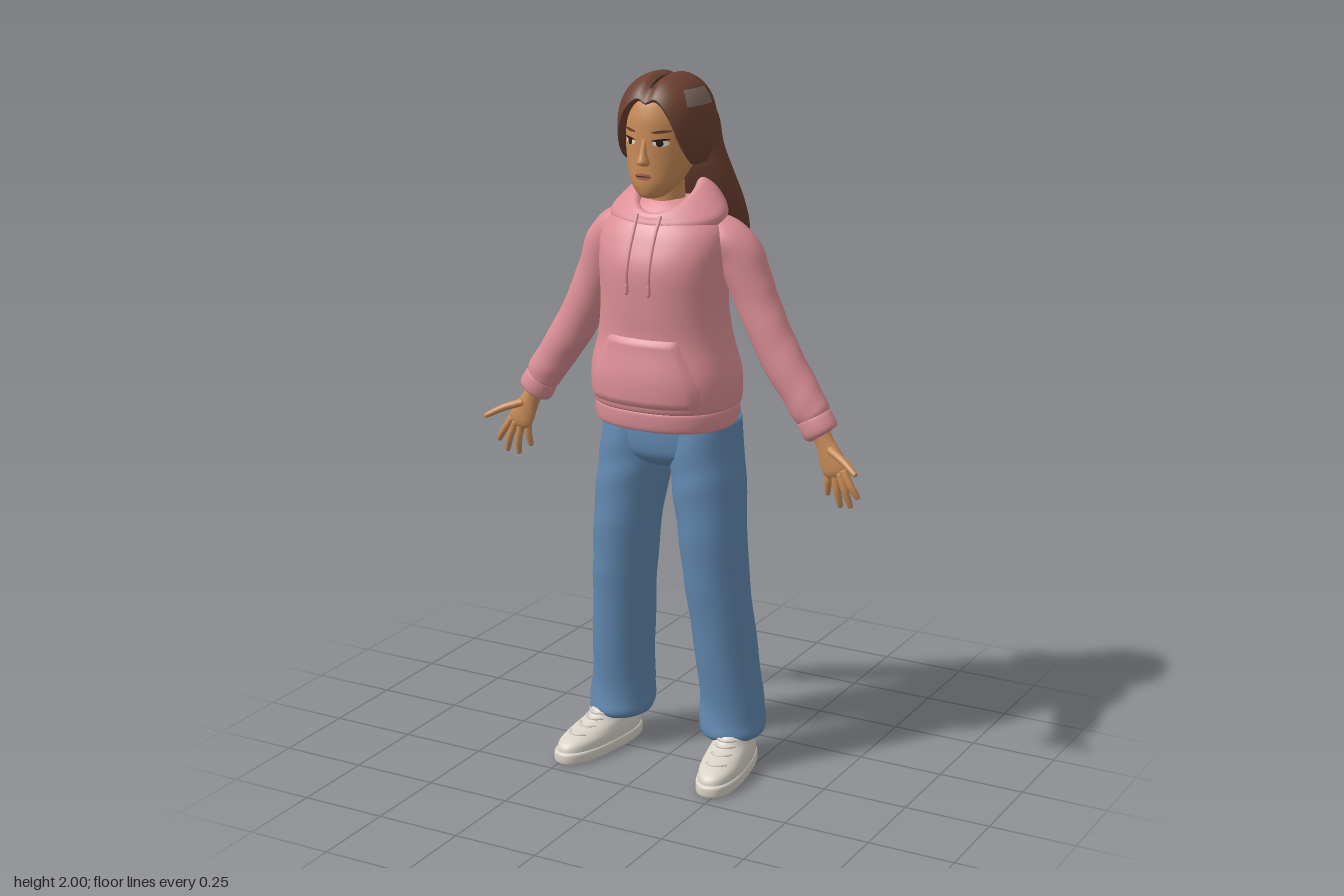
import * as THREE from 'three';

const mat = (name, color) => Object.assign(new THREE.MeshStandardMaterial({ color }), { name });
const M = {
  skin: mat('skin', 0xc98c58), hair: mat('brown hair', 0x6b4030), pink: mat('pink fabric', 0xdc8f96),
  denim: mat('blue denim', 0x6289b0), shoe: mat('off white leather', 0xd8d2c8), dark: mat('dark', 0x2a1c18),
  white: mat('eye white', 0xe4dcd2), lip: mat('lip', 0xa8604c), clip: mat('grey clip', 0x7d6a62),
};

// Surface through rows of points; row direction x column direction faces outward
function surface(rows, wrap = false, caps = false) {
  const nc = rows[0].length, pos = [], idx = [], nr = rows.length;
  rows.flat().forEach(p => pos.push(p.x, p.y, p.z));
  for (let i = 0; i < nr - 1; i++) for (let j = 0; j < (wrap ? nc : nc - 1); j++) {
    const k = (j + 1) % nc, a = i * nc + j, b = i * nc + k, c = a + nc, d = b + nc;
    idx.push(a, c, b, b, c, d);
  }
  if (caps) [0, nr - 1].forEach((r, end) => {
    const m = rows[r].reduce((s, p) => s.add(p), new THREE.Vector3()).divideScalar(nc);
    const c = pos.length / 3;
    pos.push(m.x, m.y, m.z);
    for (let j = 0; j < nc; j++) {
      const a = r * nc + j, b = r * nc + (j + 1) % nc;
      end ? idx.push(c, b, a) : idx.push(c, a, b);
    }
  });
  const g = new THREE.BufferGeometry();
  g.setAttribute('position', new THREE.Float32BufferAttribute(pos, 3));
  g.setIndex(idx);
  g.computeVertexNormals();
  return g;
}

// Smoothly interpolated cross-section [x, y, z, halfWidth, halfDepth, power, tilt]
function sample(S, t) {
  const f = t * (S.length - 1), i = Math.min(Math.floor(f), S.length - 2), u = f - i;
  const at = (k, c) => S[Math.max(0, Math.min(S.length - 1, k))][c] ?? (c === 5 ? 2 : 0);
  return [0, 1, 2, 3, 4, 5, 6].map(c => {
    const [a, b, d, e] = [at(i - 1, c), at(i, c), at(i + 1, c), at(i + 2, c)];
    return b + 0.5 * u * (d - a + u * (2 * a - 5 * b + 4 * d - e + u * (3 * (b - d) + e - a)));
  });
}
const spow = (v, e) => Math.sign(v) * Math.pow(Math.abs(v), e);

// Loft with level rings (sections bottom to top), or rings square to the path
function loft(S, { along = false, seg = 32, sub = 5, wrinkle = 0 } = {}) {
  const n = (S.length - 1) * sub, rows = [], Z = new THREE.Vector3(0, 0, 1);
  const centre = t => new THREE.Vector3(...sample(S, Math.max(0, Math.min(1, t))).slice(0, 3));
  for (let i = 0; i <= n; i++) {
    const t = i / n, s = sample(S, t), c = centre(t);
    let A = new THREE.Vector3(1, 0, 0), B = Z.clone();
    if (along) {
      const T = centre(t + 0.02).sub(centre(t - 0.02)).normalize();
      A = T.clone().cross(Z).normalize();
      B = A.clone().cross(T);
    }
    rows.push(Array.from({ length: seg }, (_, j) => {
      const a = j / seg * Math.PI * 2;
      const w = 1 + wrinkle * Math.sin(t * 42 + 2.5 * Math.sin(a + 5 * t));
      const p = c.clone().addScaledVector(A, w * s[3] * spow(Math.cos(a), 2 / s[5]))
        .addScaledVector(B, w * s[4] * spow(Math.sin(a), 2 / s[5]));
      p.y -= s[6] * p.z;
      return p;
    }));
  }
  return surface(rows, true, true);
}

// Front depth of a level loft at x, y
function frontZ(S, x, y) {
  let lo = 0, hi = 1;
  for (let k = 0; k < 30; k++) { const m = (lo + hi) / 2; sample(S, m)[1] < y ? lo = m : hi = m; }
  const s = sample(S, lo), q = Math.min(1, Math.abs(x / s[3]));
  return s[2] + s[4] * Math.pow(1 - Math.pow(q, s[5]), 1 / s[5]);
}

// Thin oval lying on the front of a loft
const decal = (S, cx, cy, rx, ry, off, rot = 0) => surface([0, 0.35, 0.7, 1].map(r =>
  Array.from({ length: 20 }, (_, j) => {
    const a = j / 20 * Math.PI * 2, u = r * rx * Math.cos(a), v = r * ry * Math.sin(a);
    const x = cx + u * Math.cos(rot) - v * Math.sin(rot), y = cy + u * Math.sin(rot) + v * Math.cos(rot);
    return new THREE.Vector3(x, y, frontZ(S, x, y) + off);
  })), true);

const HEAD = [[0, 1.672, .095, .018, .025], [0, 1.68, .092, .037, .043], [0, 1.71, .074, .066, .07],
  [0, 1.75, .05, .085, .094], [0, 1.8, .03, .098, .114], [0, 1.85, .016, .105, .128],
  [0, 1.9, .01, .104, .13], [0, 1.95, .01, .085, .108], [0, 1.98, .01, .035, .045]];
const TORSO = [[0, 1.085, .008, .198, .166, 2.3], [0, 1.1, .01, .21, .174, 2.3], [0, 1.18, .015, .213, .171, 2.3],
  [0, 1.28, .02, .19, .151, 2.3], [0, 1.38, .027, .178, .148, 2.3], [0, 1.48, .027, .182, .148, 2.3],
  [0, 1.55, .02, .185, .132, 2.3], [0, 1.6, .01, .165, .115, 2.2], [0, 1.64, 0, .11, .085, 2], [0, 1.66, 0, .06, .06, 2]];

// Point on the crown of the hair, with a centre parting
function crown(phi, th, off = 0) {
  const e = 0.85, st = spow(Math.sin(th), e);
  const p = new THREE.Vector3((.124 + off) * st * spow(Math.sin(phi), e), 1.855 + (.148 + off) * spow(Math.cos(th), e),
    .01 + (.145 + off) * st * spow(Math.cos(phi), e));
  if (p.z > -.1) p.y -= .014 * Math.exp(-((p.x / .016) ** 2));
  return p;
}
const range = (n, f) => Array.from({ length: n + 1 }, (_, i) => f(i / n));
const lerp = THREE.MathUtils.lerp;

export function createModel() {
  const model = new THREE.Group();
  model.name = 'girl in hoodie';
  const add = (name, geo, m, parent = model) => {
    const mesh = new THREE.Mesh(geo, m);
    mesh.name = name;
    parent.add(mesh);
    return mesh;
  };

  // Head and face
  add('head', loft(HEAD, { seg: 40 }), M.skin);
  add('neck', loft([[0, 1.56, .005, .062, .06], [0, 1.64, .012, .052, .053], [0, 1.74, .02, .05, .05]]), M.skin);
  add('nose', loft([[0, 1.764, .138, .012, .01], [0, 1.773, .142, .018, .023], [0, 1.8, .14, .011, .016],
    [0, 1.845, .136, .008, .006]], { seg: 16 }), M.skin);
  add('lips', decal(HEAD, 0, 1.735, .025, .009, .004), M.lip);
  add('mouthLine', decal(HEAD, 0, 1.736, .023, .0015, .006), M.dark);
  for (const s of [-1, 1]) {
    add('eye', decal(HEAD, s * .046, 1.827, .02, .009, .002), M.white);
    add('iris', decal(HEAD, s * .045, 1.827, .009, .009, .004), M.dark);
    add('eyelashes', decal(HEAD, s * .047, 1.836, .022, .003, .005, s * .1), M.dark);
    add('eyebrow', decal(HEAD, s * .048, 1.858, .024, .004, .004, s * .1), M.hair);
  }

  // Hair: crown with a turned-in edge, and the long fall behind
  add('hairCrown', surface(range(29, v => range(96, u => {
    const phi = lerp(-Math.PI, Math.PI, u);
    const edge = 1.0 + 1.2 * THREE.MathUtils.smoothstep(Math.abs(phi), .12, 1.35);
    if (v < 1) return crown(phi, Math.max(.001, edge * Math.min(1, v * 29 / 28)));
    return crown(phi, edge - .01, -.03);
  }))), M.hair);
  add('longHair', loft([[0, 1.455, -.168, .03, .01], [0, 1.465, -.17, .09, .026], [0, 1.5, -.165, .145, .046],
    [0, 1.56, -.152, .168, .06], [0, 1.64, -.118, .168, .069], [0, 1.72, -.088, .15, .072],
    [0, 1.8, -.068, .127, .07], [0, 1.88, -.05, .118, .078], [0, 1.94, -.035, .09, .065]], { seg: 40 }), M.hair);
  add('partingLine', surface(range(16, v => [-.005, .005].map(x => {
    const p = crown(0, lerp(-.42, .62, v), .002);
    p.x = x;
    return p;
  }))), M.dark);
  for (const s of [-1, 1]) add('hairClip', surface(range(6, v => range(10, u => {
    const phi = s > 0 ? lerp(1, 1.75, u) : lerp(-1.75, -1, u);
    return crown(phi, lerp(.82, 1.18, v), .005);
  }))), M.clip);

  // Hoodie body
  add('hoodieBody', loft(TORSO, { seg: 48 }), M.pink);
  add('hoodieHem', loft([[0, 1.03, .004, .19, .155, 2.3], [0, 1.037, .006, .202, .167, 2.3],
    [0, 1.08, .008, .204, .17, 2.3], [0, 1.09, .008, .196, .163, 2.3]], { seg: 48 }), M.pink);
  add('hood', loft([[0, 1.58, 0, .162, .115, 2, .1], [0, 1.622, 0, .17, .125, 2, .2], [0, 1.655, 0, .145, .121, 2, .35],
    [0, 1.688, 0, .105, .116, 2, .55], [0, 1.693, 0, .085, .104, 2, .6], [0, 1.67, 0, .07, .085, 2, .6],
    [0, 1.6, 0, .058, .058, 2, .5]], { seg: 48 }), M.pink);
  add('frontPocket', surface(range(16, v => range(20, u => {
    const y = lerp(1.295, 1.1, v), w = lerp(.108, .172, Math.min(1, v / .7));
    const x = lerp(-w, w, u), rim = u === 0 || u === 1 || v === 0 || v === 1;
    return new THREE.Vector3(x, y, frontZ(TORSO, x, y) + (rim ? -.003 : .009));
  }))), M.pink);
  for (const s of [-1, 1]) {
    const pts = [new THREE.Vector3(s * .036, 1.625, .115)];
    for (const y of [1.59, 1.54, 1.48, 1.43])
      pts.push(new THREE.Vector3(s * .034, y, frontZ(TORSO, .034, y) + .005));
    add('drawstring', new THREE.TubeGeometry(new THREE.CatmullRomCurve3(pts), 20, .005, 8), M.pink);
    add('drawstringTip', new THREE.CapsuleGeometry(.006, .02, 4, 8), M.pink).position.copy(pts[4]);
  }

  // Jeans
  add('jeansHips', loft([[0, .905, -.015, .09, .08, 2.3], [0, .94, -.018, .18, .116, 2.3], [0, 1, -.02, .2, .125, 2.3],
    [0, 1.06, -.02, .195, .12, 2.3]], { seg: 40 }), M.denim);

  for (const s of [-1, 1]) {
    const side = S => S.map(([x, ...r]) => [s * x, ...r]);

    add('jeansLeg', loft(side([[.185, .095, -.045, .078, .088], [.184, .108, -.045, .092, .101], [.181, .15, -.05, .095, .101],
      [.178, .22, -.048, .09, .098], [.168, .35, -.034, .088, .1], [.155, .5, -.016, .09, .1], [.146, .6, -.007, .091, .105],
      [.136, .72, -.006, .094, .113], [.122, .84, -.012, .1, .121], [.112, .93, -.018, .1, .124],
      [.102, 1.05, -.02, .098, .118]]), { wrinkle: .012 }), M.denim);

    // Sleeve and cuff
    add('sleeve', loft(side([[.09, 1.575, -.012, .045, .06], [.16, 1.555, -.02, .06, .068], [.205, 1.505, -.028, .067, .066],
      [.237, 1.43, -.032, .063, .06], [.272, 1.35, -.033, .06, .057], [.322, 1.25, -.033, .06, .055],
      [.385, 1.155, -.032, .056, .05], [.428, 1.092, -.03, .053, .046], [.437, 1.078, -.03, .042, .038]]),
    { along: true, wrinkle: .015 }), M.pink);
    add('cuff', loft(side([[.43, 1.088, -.03, .044, .04], [.437, 1.076, -.03, .051, .045], [.456, 1.042, -.029, .051, .044],
      [.461, 1.034, -.029, .03, .028]]), { along: true }), M.pink);

    // Hand with palm forward and thumb outward
    const hand = new THREE.Group();
    hand.name = 'hand';
    model.add(hand);
    add('palm', loft(side([[.45, 1.05, -.028, .026, .022], [.472, 1.01, -.026, .028, .02], [.492, .972, -.022, .037, .018],
      [.506, .942, -.02, .038, .016], [.513, .926, -.02, .026, .01]]), { along: true, seg: 20 }), M.skin, hand);
    const fingers = {
      indexFinger: [[.53, .948, -.015], [.556, .908, -.01], [.576, .876, -.015]],
      middleFinger: [[.52, .938, -.018], [.538, .89, -.014], [.552, .846, -.022]],
      ringFinger: [[.503, .934, -.022], [.512, .886, -.02], [.518, .84, -.03]],
      littleFinger: [[.485, .942, -.026], [.482, .905, -.025], [.478, .868, -.033]],
      thumb: [[.49, 1, -.015], [.543, .982, .012], [.588, .958, .034]],
    };
    for (const [name, [a, b, c]] of Object.entries(fingers)) {
      const tip = c.map((v, i) => v + (c[i] - b[i]) * .08);
      add(name, loft(side([[...a, .012, .012], [...b, .0105, .0105], [...c, .0075, .0075], [...tip, .002, .002]]),
        { along: true, seg: 12 }), M.skin, hand);
    }

    // Shoe, toe turned slightly out
    const shoe = new THREE.Group();
    shoe.name = 'shoe';
    shoe.position.set(s * .212, 0, .043);
    shoe.rotation.y = s * .16;
    model.add(shoe);
    add('sole', loft([[0, 0, 0, .056, .17, 2.5], [0, .006, 0, .064, .178, 2.5], [0, .03, 0, .064, .178, 2.5],
      [0, .036, 0, .056, .17, 2.5]], { seg: 40 }), M.shoe, shoe);
    const UPPER = [[0, .03, -.002, .061, .172, 2.4], [0, .055, -.006, .061, .166, 2.3], [0, .075, -.03, .056, .14, 2.2],
      [0, .095, -.06, .05, .104, 2], [0, .125, -.08, .046, .08, 2], [0, .14, -.085, .035, .06, 2]];
    add('upper', loft(UPPER, { seg: 40 }), M.shoe, shoe);
    for (let i = 0; i < 4; i++) {
      const y = .074 + i * .012;
      const pts = [-.03, -.015, 0, .015, .03].map(x => new THREE.Vector3(x, y, frontZ(UPPER, x, y)));
      add('lace', new THREE.TubeGeometry(new THREE.CatmullRomCurve3(pts), 10, .0045, 6), M.shoe, shoe);
    }
  }
  return model;
}
